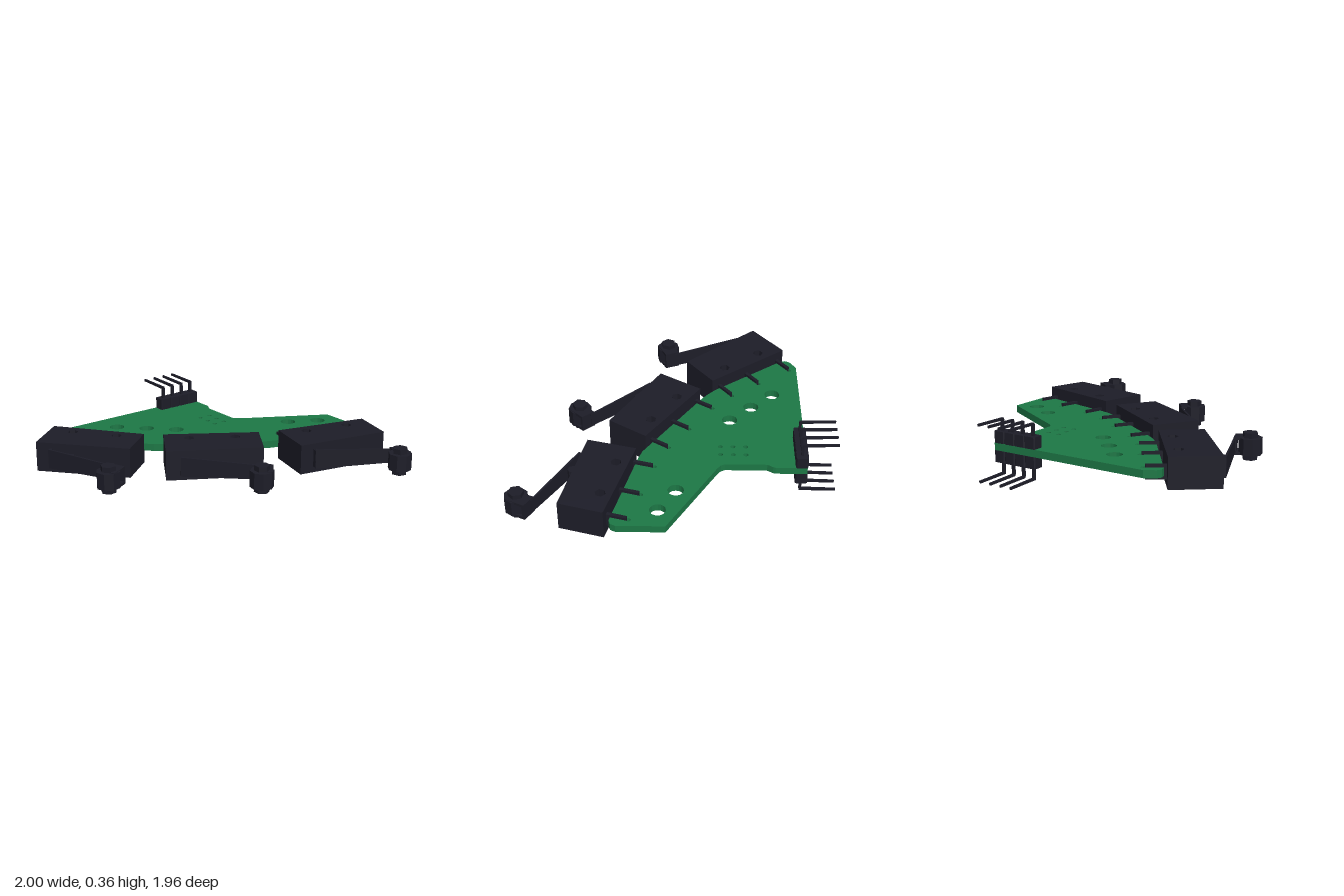
import * as THREE from 'three';

const boardMat = new THREE.MeshStandardMaterial({ name: 'board green', color: 0x1d7846 });
const blackMat = new THREE.MeshStandardMaterial({ name: 'dark plastic', color: 0x1d1d28 });

function add(parent, name, geometry, material) {
  const m = new THREE.Mesh(geometry, material);
  m.name = name;
  parent.add(m);
  return m;
}

// Upright prism from an outline in (x, z), with round holes [x, z, radius]
function prism(outline, y0, y1, holes = [], holeSides = 16) {
  const shape = new THREE.Shape(outline.map(([x, z]) => new THREE.Vector2(x, -z)));
  for (const [x, z, r] of holes) {
    const pts = [];
    for (let i = 0; i < holeSides; i++) {
      const a = i / holeSides * Math.PI * 2;
      pts.push(new THREE.Vector2(x + r * Math.cos(a), -z + r * Math.sin(a)));
    }
    shape.holes.push(new THREE.Path(pts));
  }
  const g = new THREE.ExtrudeGeometry(shape, { depth: y1 - y0, bevelEnabled: false });
  return g.rotateX(-Math.PI / 2).translate(0, y0, 0);
}

function box(x0, x1, y0, y1, z0, z1) {
  return new THREE.BoxGeometry(x1 - x0, y1 - y0, z1 - z0)
    .translate((x0 + x1) / 2, (y0 + y1) / 2, (z0 + z1) / 2);
}

// Faceted upright cylinder
function drum(radius, height, sides) {
  const g = new THREE.CylinderGeometry(radius, radius, height, sides).toNonIndexed();
  g.computeVertexNormals();
  return g;
}

const PIN_Z = [0.06, 0.289, 0.558];

// One lever switch: local x points away from the board, z runs along its edge
function makeSwitch() {
  const g = new THREE.Group();
  add(g, 'switchBody', prism([[0, 0], [0.282, 0], [0.315, 0.607], [0, 0.613]], 0.09, 0.282,
    [[0.072, 0.159, 0.034], [0.076, 0.452, 0.034]], 6), blackMat);
  add(g, 'switchButton', prism([[0.28, 0.36], [0.345, 0.355], [0.362, 0.372], [0.358, 0.4], [0.338, 0.412],
    [0.28, 0.41]], 0.15, 0.22), blackMat);

  // Terminals straddling the board
  for (const z of PIN_Z) add(g, 'terminal', box(-0.122, 0.01, 0.14, 0.227, z - 0.011, z + 0.011), blackMat);

  // Lever strip, tapering in height towards the roller
  const start = new THREE.Vector2(0.335, 0.515), end = new THREE.Vector2(0.462, 0.03);
  const len = start.distanceTo(end);
  const strip = new THREE.BoxGeometry(0.012, 0.125, len);
  const p = strip.attributes.position;
  for (let i = 0; i < p.count; i++) if (p.getZ(i) < 0) p.setY(i, p.getY(i) * 0.72);
  strip.computeVertexNormals();
  const lever = add(g, 'lever', strip, blackMat);
  lever.position.set((start.x + end.x) / 2, 0.187, (start.y + end.y) / 2);
  lever.rotation.y = Math.atan2(start.x - end.x, start.y - end.y);
  add(g, 'leverFoot', box(0.305, 0.34, 0.13, 0.245, 0.498, 0.518), blackMat);

  // Roller fork, roller and its axle
  const fork = [[0.452, 0.057], [0.478, -0.035], [0.605, -0.012], [0.575, 0.07]];
  add(g, 'forkTop', prism(fork, 0.225, 0.243), blackMat);
  add(g, 'forkBottom', prism(fork, 0.132, 0.15), blackMat);
  add(g, 'forkBack', prism([[0.452, 0.057], [0.478, -0.035], [0.492, -0.032], [0.466, 0.06]], 0.14, 0.235), blackMat);
  add(g, 'roller', drum(0.074, 0.104, 8), blackMat).position.set(0.558, 0.187, 0.043);
  add(g, 'axle', drum(0.048, 0.17, 6), blackMat).position.set(0.556, 0.187, 0.043);
  return g;
}

export function createModel() {
  const model = new THREE.Group();
  model.name = 'sensorBoard';

  const switches = [
    { x: 0.4, z: -0.95, a: -0.273 },
    { x: 0.183, z: -0.237, a: -0.59 },
    { x: -0.24, z: 0.365, a: -0.919 },
  ];

  // Mounting holes, the small grid of holes and the solder holes
  const holes = [[0.09, -0.84, 0.049], [-0.013, -0.663, 0.049],
    [-0.348, 0.03, 0.049], [-0.49, 0.172, 0.049], [-0.634, 0.313, 0.049]];
  for (const x of [-0.442, -0.363, -0.284]) for (const z of [-0.323, -0.245]) holes.push([x, z, 0.015]);
  for (const { x, z, a } of switches) {
    for (const u of PIN_Z) {
      const v = -0.133;
      holes.push([x + v * Math.cos(a) + u * Math.sin(a), z - v * Math.sin(a) + u * Math.cos(a), 0.014]);
    }
  }
  const outline = [[0.04, -0.98], [0.33, -0.98], [0.36, -0.965], [0.37, -0.935], [0.225, -0.37],
    [0.2, -0.3], [-0.17, 0.26], [-0.21, 0.31], [-0.26, 0.36], [-0.71, 0.7], [-0.745, 0.71], [-0.775, 0.695],
    [-0.815, 0.63], [-0.815, -0.445], [-0.62, -0.445], [-0.605, -0.44], [-0.57, -0.417],
    [-0.31, -0.417], [-0.285, -0.43], [-0.265, -0.455]];
  add(model, 'board', prism(outline, 0.163, 0.21, holes), boardMat);

  for (const { x, z, a } of switches) {
    const s = makeSwitch();
    s.name = 'leverSwitch';
    s.position.set(x, 0, z);
    s.rotation.y = a;
    model.add(s);
  }

  // Pin headers above and below the board, with bent pins
  for (const up of [1, -1]) {
    const header = new THREE.Group();
    header.name = up > 0 ? 'headerTop' : 'headerBottom';
    for (let i = 0; i < 4; i++) {
      const z = -0.408 + i * 0.078, w = 0.039, c = 0.007;
      const block = [[-0.818 + c, z - w], [-0.743 - c, z - w], [-0.743, z - w + c], [-0.743, z + w - c],
        [-0.743 - c, z + w], [-0.818 + c, z + w], [-0.818, z + w - c], [-0.818, z - w + c]];
      add(header, 'headerBlock', up > 0 ? prism(block, 0.21, 0.284) : prism(block, 0.089, 0.163), blackMat);
      const yEnd = 0.186 + up * 0.168;
      add(header, 'pinUpright', box(-0.788, -0.772, Math.min(0.186, yEnd), Math.max(0.186, yEnd),
        z - 0.009, z + 0.009), blackMat);
      // Arm narrows towards its free end
      const armGeometry = prism([[-0.113, -0.006], [0.113, -0.009], [0.113, 0.009], [-0.113, 0.006]], -0.0075, 0.0075);
      const arm = add(header, 'pinArm', armGeometry, blackMat);
      arm.position.set(-0.887, 0.186 + up * 0.172, z);
      arm.rotation.z = -up * 0.02;
    }
    model.add(header);
  }
  return model;
}
